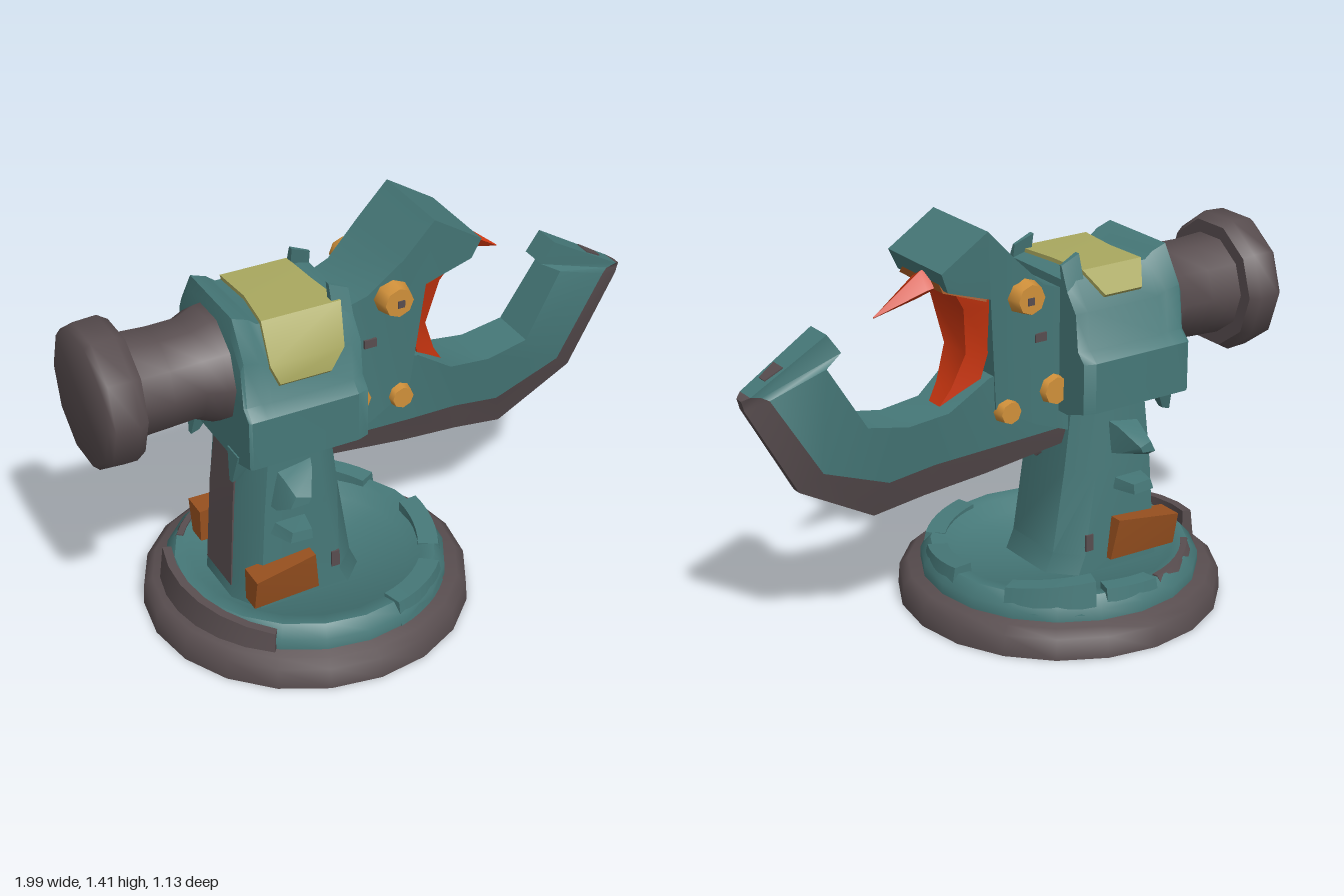
import * as THREE from 'three';
import { toCreasedNormals } from 'three/addons/utils/BufferGeometryUtils.js';

const mat = (name, color) => new THREE.MeshStandardMaterial({ name, color });

// Closed, capped loft through rings of [x, y, z] points; winding is fixed by its volume.
function loft(rings, crease = 0.8) {
  const n = rings[0].length, tris = [];
  const mid = r => [0, 1, 2].map(k => r.reduce((s, p) => s + p[k], 0) / n);
  for (let i = 0; i < rings.length - 1; i++)
    for (let j = 0; j < n; j++) {
      const k = (j + 1) % n, a = rings[i], b = rings[i + 1];
      tris.push([a[j], a[k], b[k]], [a[j], b[k], b[j]]);
    }
  const first = rings[0], last = rings[rings.length - 1];
  for (let j = 0; j < n; j++) {
    const k = (j + 1) % n;
    tris.push([mid(first), first[k], first[j]], [mid(last), last[j], last[k]]);
  }
  const v = p => new THREE.Vector3(...p);
  const volume = tris.reduce((s, t) => s + v(t[0]).dot(v(t[1]).cross(v(t[2]))), 0);
  if (volume < 0) tris.forEach(t => t.reverse());
  const g = new THREE.BufferGeometry();
  g.setAttribute('position', new THREE.Float32BufferAttribute(tris.flat(2), 3));
  return toCreasedNormals(g, crease);
}

// Loft of upright quads, symmetric in z: [ax, ay, halfWidthA, bx, by, halfWidthB]
const plank = list => loft(list.map(([ax, ay, wa, bx, by, wb]) =>
  [[ax, ay, wa], [bx, by, wb], [bx, by, -wb], [ax, ay, -wa]]));

// Round loft along x: [x, centreY, radius]
const barrel = (list, sides) => loft(list.map(([x, y, r]) =>
  Array.from({ length: sides }, (_, i) => {
    const a = (i + 0.5) / sides * Math.PI * 2;
    return [x, y + r * Math.cos(a), r * Math.sin(a)];
  })), 1);

export function createModel() {
  const root = new THREE.Group();
  root.name = 'beakedTurret';
  const teal = mat('teal', 0x467878), dark = mat('charcoal', 0x584d4f);
  const red = mat('mouthRed', 0xcc3610), orange = mat('orange', 0xd0903a);
  const olive = mat('paleOlive', 0xa9a85f), rust = mat('rust', 0x97501f);
  const add = (name, geometry, material) => {
    const m = new THREE.Mesh(geometry, material);
    m.name = name;
    root.add(m);
    return m;
  };
  const CX = -0.23;

  // Base: dark disc with a teal dished ring on it
  const lathe = pts => toCreasedNormals(
    new THREE.LatheGeometry(pts.map(p => new THREE.Vector2(...p)), 20), 0.9);
  add('baseDisc', lathe([[0, 0], [0.565, 0], [0.56, 0.075], [0.53, 0.1], [0, 0.1]]), dark)
    .position.x = CX;
  add('baseRing', lathe([[0.485, 0.09], [0.485, 0.14], [0.45, 0.18], [0.4, 0.175], [0.36, 0.135], [0, 0.13]]), teal)
    .position.x = CX;

  // Raised plates around the ring: from/to in degrees, inner/outer radius, bottom, top heights
  const rimPlate = (name, from, to, r0, r1, y0, y1, y2, material) =>
    add(name, loft(Array.from({ length: 7 }, (_, i) => {
      const t = i / 6, a = (from + (to - from) * t) * Math.PI / 180, top = y1 + (y2 - y1) * t;
      const p = (r, y) => [CX + r * Math.sin(a), y, r * Math.cos(a)];
      return [p(r0, y0), p(r1, y0), p(r1 - 0.015, top), p(r0, top)];
    })), material);
  rimPlate('rimPlateBack', 122, 160, 0.4, 0.48, 0.12, 0.2, 0.235, teal);
  rimPlate('rimPlateRear', 165, 190, 0.4, 0.475, 0.12, 0.2, 0.19, teal);
  rimPlate('rimPlateFront', 15, 50, 0.4, 0.485, 0.1, 0.19, 0.18, teal);
  rimPlate('rimPlateSide', 62, 95, 0.39, 0.475, 0.12, 0.18, 0.205, teal);
  rimPlate('rimPlateDark', 252, 322, 0.46, 0.505, 0.09, 0.225, 0.165, dark);
  rimPlate('rimPatchDark', 193, 236, 0.425, 0.462, 0.16, 0.184, 0.184, dark);

  // Column
  add('column', loft([[0.11, -0.56, -0.08, 0.205], [0.2, -0.55, -0.12, 0.2], [0.5, -0.53, -0.165, 0.195], [0.8, -0.5, -0.2, 0.185]]
    .map(([y, l, r, w]) => [[l, y, 0.1], [l + 0.06, y, w], [r - 0.08, y, w], [r, y, 0.12],
      [r, y, -0.12], [r - 0.08, y, -w], [l + 0.06, y, -w], [l, y, -0.1]])), teal);
  add('columnBackPanel', plank([[-0.556, 0.18, 0.095, -0.54, 0.18, 0.095],
    [-0.536, 0.5, 0.09, -0.52, 0.5, 0.09], [-0.514, 0.72, 0.08, -0.5, 0.72, 0.08]]), dark);
  // Worn spot on the column under the beak
  const spot = add('columnScuff', new THREE.CylinderGeometry(0.036, 0.036, 0.009, 7).rotateZ(Math.PI / 2), dark);
  spot.position.set(-0.168, 0.53, 0.05);
  spot.rotation.z = 0.13;

  for (const s of [1, -1]) {
    // Column fins, point outwards
    add('upperFin', loft([
      [[-0.45, 0.53, 0.17 * s], [-0.3, 0.55, 0.17 * s], [-0.29, 0.68, 0.17 * s], [-0.42, 0.66, 0.17 * s]],
      [[-0.44, 0.53, 0.225 * s], [-0.32, 0.56, 0.225 * s], [-0.31, 0.66, 0.225 * s], [-0.41, 0.64, 0.225 * s]],
      [[-0.42, 0.57, 0.29 * s], [-0.36, 0.58, 0.3 * s], [-0.35, 0.6, 0.3 * s], [-0.4, 0.61, 0.29 * s]]]), teal);
    add('lowerFin', loft([
      [[-0.46, 0.42, 0.17 * s], [-0.31, 0.42, 0.17 * s], [-0.32, 0.46, 0.17 * s], [-0.44, 0.46, 0.17 * s]],
      [[-0.42, 0.43, 0.285 * s], [-0.34, 0.425, 0.285 * s], [-0.34, 0.46, 0.28 * s], [-0.41, 0.465, 0.28 * s]]]), teal);
    // Rusty plate at the foot, leaning out
    add('footPlate', loft([
      [[-0.54, 0.18, 0.18 * s], [-0.29, 0.17, 0.18 * s], [-0.29, 0.17, 0.225 * s], [-0.54, 0.18, 0.25 * s]],
      [[-0.54, 0.3, 0.18 * s], [-0.31, 0.32, 0.18 * s], [-0.31, 0.32, 0.245 * s], [-0.54, 0.3, 0.275 * s]]]), rust);
    // Torn shards on the collar
    add('collarShard', loft([
      [[-0.2, 1.12, 0.15 * s], [-0.13, 1.12, 0.15 * s], [-0.13, 1.12, 0.19 * s], [-0.2, 1.12, 0.19 * s]],
      [[-0.2, 1.27, 0.12 * s], [-0.13, 1.24, 0.13 * s], [-0.13, 1.24, 0.14 * s], [-0.2, 1.27, 0.14 * s]]]), teal);
    add('collarTab', loft([
      [[-0.56, 0.76, 0.12 * s], [-0.49, 0.76, 0.12 * s], [-0.49, 0.76, 0.2 * s], [-0.56, 0.76, 0.2 * s]],
      [[-0.57, 0.65, 0.15 * s], [-0.54, 0.66, 0.15 * s], [-0.54, 0.66, 0.17 * s], [-0.57, 0.65, 0.17 * s]]]), teal);
    // Orange studs beside the head
    [[0.025, 1.17, 0.168, 0.064], [-0.105, 0.815, 0.13, 0.06], [0.07, 0.77, 0.118, 0.048]].forEach(([x, y, z, r]) => {
      const stud = new THREE.CylinderGeometry(r * 0.8, r, 0.06, 8).rotateX(s * Math.PI / 2);
      add('stud', toCreasedNormals(stud, 1), orange).position.set(x, y, z * s);
    });
    add('studHole', new THREE.BoxGeometry(0.025, 0.025, 0.006), dark).position.set(0.03, 1.165, 0.199 * s);
    // Worn spots: [x, y, z, width, height]
    [[-0.215, 0.245, 0.2, 0.03, 0.06], [-0.05, 1.01, 0.139, 0.045, 0.03]].forEach(([x, y, z, w, h]) =>
      add('scuff', new THREE.BoxGeometry(w, h, 0.009), dark).position.set(x, y, z * s));
  }

  // Collar: faceted shell along x with a raised rear rim
  const half = [[1.205, 0.155], [1.1, 0.235], [0.97, 0.25], [0.935, 0.287], [0.76, 0.287], [0.73, 0.19]];
  const outline = [...half, ...half.map(([y, z]) => [y, -z]).reverse()];
  add('collar', loft([[-0.555, 0.98], [-0.545, 1.18], [-0.49, 1.1], [-0.46, 1], [-0.17, 1], [-0.13, 0.95]]
    .map(([x, s]) => outline.map(([y, z]) => [x, 0.97 + (y - 0.97) * (y > 0.97 ? s : 1), z * Math.min(s, 1)]))), teal);

  // Olive patch wrapped over the collar
  add('olivePatch', loft([[1.03, 0.256, -0.43, -0.25], [1.1, 0.248, -0.46, -0.2], [1.218, 0.165, -0.45, -0.17],
    [1.22, 0, -0.43, -0.19], [1.218, -0.16, -0.44, -0.2], [1.14, -0.222, -0.4, -0.25]]
    .map(([y, z, l, r]) => [[l, y, z], [r, y, z], [r, y - 0.03, z * 0.88], [l, y - 0.03, z * 0.88]])), olive);

  // Rear barrel and end cap
  add('rearBarrel', barrel([[-0.9, 1.005, 0.18], [-0.75, 1.005, 0.172], [-0.64, 1.01, 0.17], [-0.58, 1.01, 0.195], [-0.53, 1.01, 0.2]], 10), dark);
  add('rearCap', barrel([[-1, 1.005, 0.225], [-0.98, 1.005, 0.243], [-0.9, 1.005, 0.247], [-0.865, 1.005, 0.225]], 10), dark);

  // Head and upper beak
  add('head', plank([
    [-0.17, 1.15, 0.13, -0.17, 0.65, 0.13],
    [-0.06, 1.19, 0.14, -0.04, 0.7, 0.13],
    [0.06, 1.3, 0.16, 0.11, 0.78, 0.115],
    [0.17, 1.415, 0.16, 0.15, 1.18, 0.145],
    [0.345, 1.305, 0.16, 0.315, 1.235, 0.15]]), teal);

  // Lower beak: [inner x, y, halfWidth, outer x, y, halfWidth, teal fraction]
  const jaw = [
    [-0.19, 0.95, 0.12, -0.2, 0.59, 0.09, 0.82],
    [0.14, 0.9, 0.12, 0.12, 0.535, 0.06, 0.72],
    [0.28, 0.8, 0.095, 0.34, 0.5, 0.03, 0.61],
    [0.43, 0.785, 0.09, 0.525, 0.468, 0.015, 0.61],
    [0.58, 0.815, 0.085, 0.8, 0.62, 0.018, 0.68],
    [0.715, 1.04, 0.07, 0.98, 0.94, 0.015, 0.72],
    [0.65, 1.075, 0.05, 0.985, 0.96, 0.015, 0.83],
    [0.7, 1.145, 0.05, 0.99, 0.975, 0.015, 0.92]];
  const split = jaw.map(([ix, iy, wi, ox, oy, wo, t]) =>
    [ix + (ox - ix) * t, iy + (oy - iy) * t, wi * 0.55 + wo * 0.45]);
  add('lowerBeak', plank(jaw.map((j, i) => [j[0], j[1], j[2], ...split[i]])), teal);
  add('lowerBeakKeel', plank(jaw.map((j, i) => [...split[i], j[3], j[4], j[5]])), dark);
  add('beakTipScuff', plank([[0.848, 1.063, 0.03, 0.844, 1.056, 0.03], [0.908, 1.028, 0.018, 0.904, 1.021, 0.018]]), dark);

  // Mouth lining, rusty roof and tooth
  add('mouthLining', plank([
    [0.15, 1.21, 0.14, 0.26, 1.205, 0.11],
    [0.135, 1.15, 0.135, 0.225, 1.15, 0.1],
    [0.125, 1.0, 0.1, 0.195, 0.98, 0.065],
    [0.16, 0.86, 0.085, 0.24, 0.86, 0.045],
    [0.2, 0.79, 0.07, 0.285, 0.79, 0.03]]), red);
  add('mouthRoof', plank([[0.15, 1.22, 0.135, 0.16, 1.172, 0.135], [0.325, 1.28, 0.09, 0.322, 1.23, 0.13]]), rust);
  add('upperTooth', loft([
    [[0.25, 1.29, -0.02], [0.27, 1.24, 0.06], [0.28, 1.2, -0.01], [0.27, 1.24, -0.08]],
    [[0.345, 1.285, -0.035], [0.35, 1.255, 0.01], [0.36, 1.185, -0.02], [0.35, 1.23, -0.08]],
    [[0.51, 1.155, -0.015], [0.51, 1.152, -0.013], [0.51, 1.15, -0.015], [0.51, 1.152, -0.017]]]), red);

  return root;
}
